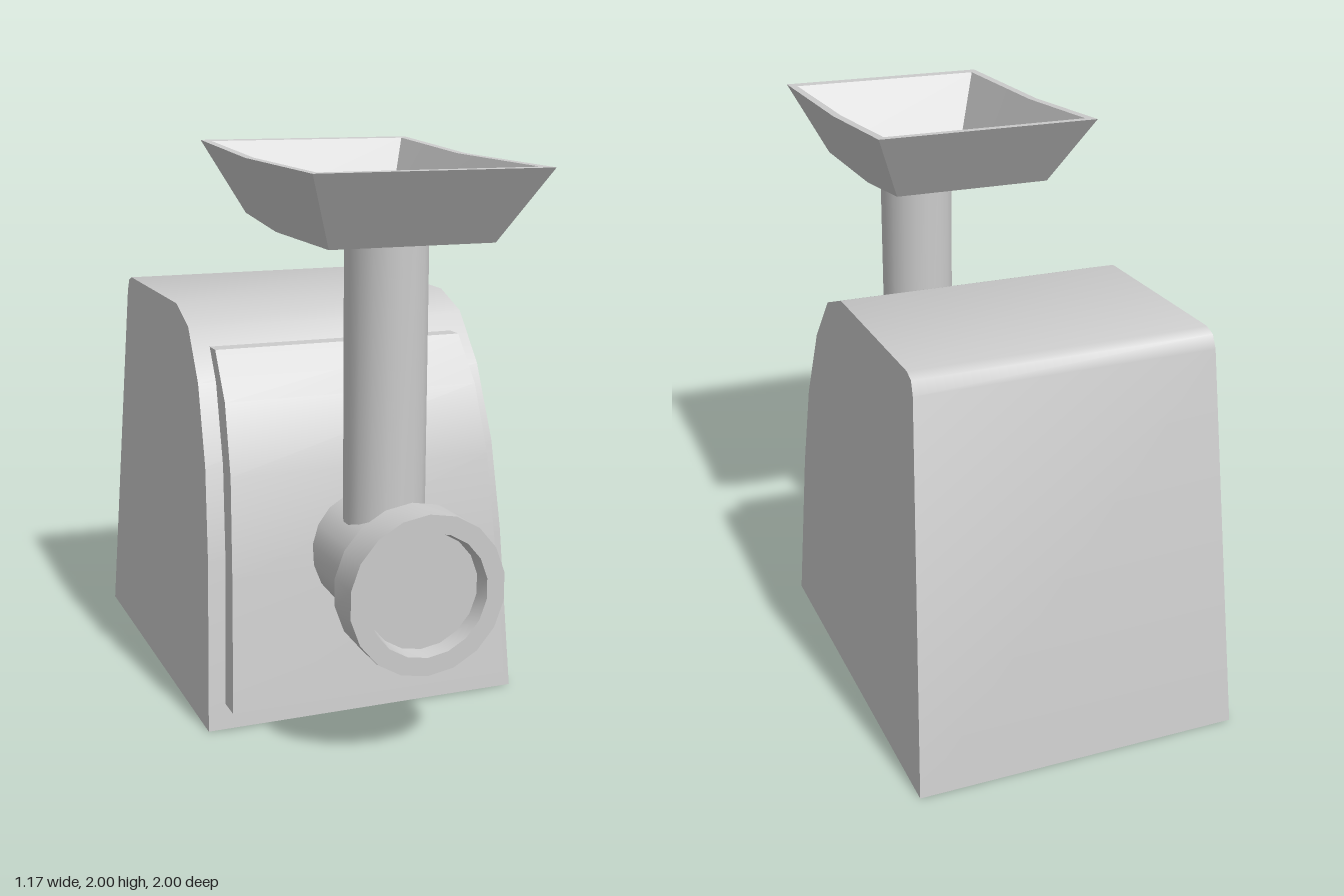
import * as THREE from 'three';
import { toCreasedNormals } from 'three/addons/utils/BufferGeometryUtils.js';

const material = new THREE.MeshStandardMaterial({ color: 0xcccccc });
const CREASE = 0.85;

function addPart(group, name, geometry) {
  const mesh = new THREE.Mesh(toCreasedNormals(geometry, CREASE), material);
  mesh.name = name;
  group.add(mesh);
  return mesh;
}

// Side profile of [z, y] points, extruded across x; half width varies linearly with height.
function taperedProfile(points, halfWidth) {
  const shape = new THREE.Shape(points.map(([z, y]) => new THREE.Vector2(z, y)));
  const geometry = new THREE.ExtrudeGeometry(shape, { depth: 2, bevelEnabled: false });
  geometry.translate(0, 0, -1).rotateY(-Math.PI / 2);
  const p = geometry.attributes.position;
  for (let i = 0; i < p.count; i++) p.setX(i, p.getX(i) * halfWidth(p.getY(i)));
  return geometry;
}

// Open tray: rings of three stations (front, bend, back) joined from outer floor over the rim to inner floor.
function trayGeometry() {
  const rings = [
    { w: 0.285, s: [[0.83, 1.71], [0.33, 1.715], [0, 1.75]] },
    { w: 0.4, s: [[1, 1.955], [0.36, 1.965], [-0.165, 2]] },
    { w: 0.37, s: [[0.95, 1.955], [0.36, 1.965], [-0.125, 1.997]] },
    { w: 0.27, s: [[0.81, 1.73], [0.33, 1.735], [0.02, 1.768]] },
  ];
  const positions = [];
  const index = [];
  for (const { w, s } of rings) {
    for (const [z, y] of s) positions.push(w, y, z);
    for (const [z, y] of [...s].reverse()) positions.push(-w, y, z);
  }
  const quad = (a, b, c, d) => index.push(a, b, c, a, c, d);
  for (let r = 0; r < 3; r++) {
    for (let i = 0; i < 6; i++) {
      const j = (i + 1) % 6;
      quad(r * 6 + i, r * 6 + j, r * 6 + 6 + j, r * 6 + 6 + i);
    }
  }
  // Underside and inner floor
  quad(0, 5, 4, 1);
  quad(1, 4, 3, 2);
  quad(18, 19, 22, 23);
  quad(19, 20, 21, 22);
  const geometry = new THREE.BufferGeometry();
  geometry.setAttribute('position', new THREE.Float32BufferAttribute(positions, 3));
  geometry.setIndex(index);
  return geometry;
}

export function createModel() {
  const group = new THREE.Group();
  group.name = 'meatGrinder';

  // Motor housing
  addPart(group, 'housing', taperedProfile([
    [0.45, 0], [0.39, 0.6], [0.33, 0.92], [0.22, 1.19], [0.08, 1.365], [-0.08, 1.425],
    [-0.77, 1.43], [-0.81, 1.415], [-0.83, 1.37], [-1, 0],
  ], (y) => 0.585 - 0.042 * y));

  // Raised curved panel on the front
  addPart(group, 'frontPanel', taperedProfile([
    [0.53, 0.09], [0.475, 0.55], [0.42, 0.9], [0.33, 1.14], [0.2, 1.3], [0.1, 1.3], [0.1, 0.09],
  ], (y) => 0.524 - 0.045 * y));

  // Grinding barrel with its collar and recessed outlet
  const barrelProfile = [
    [0.205, 0.3], [0.205, 0.845], [0.273, 0.845], [0.273, 0.985],
    [0.21, 0.985], [0.2, 0.93], [0, 0.93],
  ].map(([r, z]) => new THREE.Vector2(r, z));
  const barrel = new THREE.LatheGeometry(barrelProfile, 18).rotateX(Math.PI / 2);
  addPart(group, 'barrel', barrel).position.y = 0.607;

  // Feed tube and hopper tray
  addPart(group, 'feedTube', new THREE.CylinderGeometry(0.14, 0.14, 1.0, 18))
    .position.set(0, 1.215, 0.61);
  addPart(group, 'hopperTray', trayGeometry());

  return group;
}
